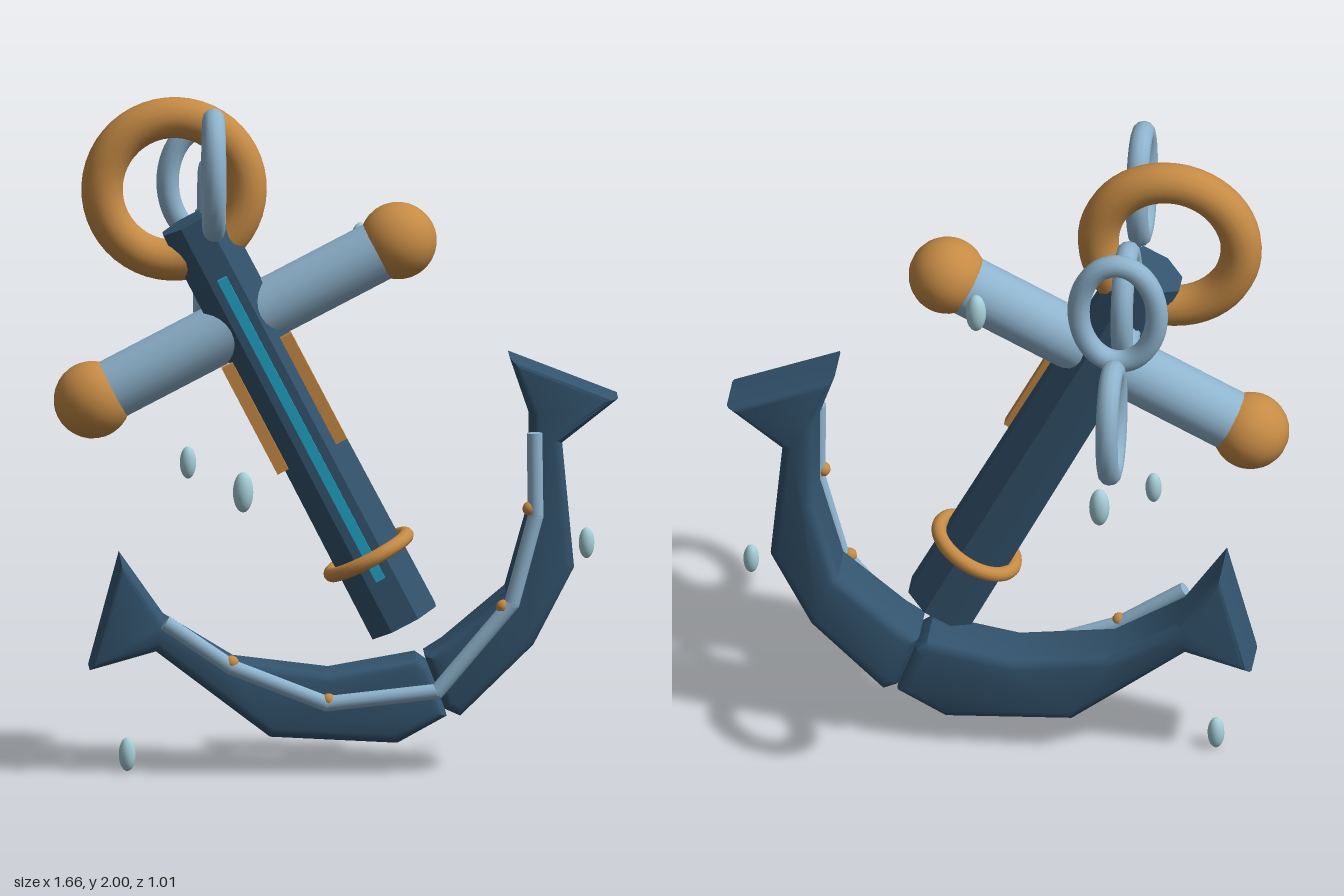
import * as THREE from 'three';
import { toCreasedNormals } from 'three/addons/utils/BufferGeometryUtils.js';

const TILT = 0.48; // lean of the whole anchor
const Z = 0.142; // depth of the anchor's middle plane

const mat = (name, color) => {
  const m = new THREE.MeshStandardMaterial({ color });
  m.name = name;
  return m;
};

export function createModel() {
  const group = new THREE.Group();
  const navy = mat('navy iron', 0x33546e);
  const steel = mat('pale steel', 0x8fb4ce);
  const brass = mat('brass', 0xc68b45);
  const cyan = mat('cyan inlay', 0x22a4c6);
  const water = mat('water', 0xa6cfd8);

  const add = (name, geometry, material, x, y, z, parent = group) => {
    const mesh = new THREE.Mesh(geometry, material);
    mesh.name = name;
    mesh.position.set(x, y, z);
    parent.add(mesh);
    return mesh;
  };

  // Leaning upper part: local y runs along the shank, origin at the crossbar
  const upper = new THREE.Group();
  upper.name = 'upperAnchor';
  upper.position.set(-0.265, 1.338, Z);
  upper.rotation.z = TILT;
  group.add(upper);

  // Octagonal shank, slightly tapered
  const shank = new THREE.CylinderGeometry(0.104, 0.114, 1.35, 8);
  shank.rotateY(Math.PI / 8);
  add('shank', toCreasedNormals(shank, 0.5), navy, 0, -0.335, 0, upper);

  // Crossbar with ball ends
  const bar = new THREE.CylinderGeometry(0.09, 0.09, 1.0, 24);
  bar.rotateZ(Math.PI / 2);
  add('crossbar', bar, steel, 0, 0, 0, upper);
  for (const s of [-1, 1]) {
    add('crossbarBall', new THREE.SphereGeometry(0.114, 24, 16), brass, s * 0.507, 0, 0, upper);
    add('sideStrip', new THREE.BoxGeometry(0.036, 0.355, 0.036), brass, s * 0.097 - 0.008, -0.255, 0.118, upper);
  }

  // Top ring, inlay and lower collar
  add('topRing', new THREE.TorusGeometry(0.212, 0.061, 16, 48), brass, -0.005, 0.444, 0.003, upper);
  add('shankInlay', new THREE.BoxGeometry(0.03, 1.01, 0.03), cyan, 0, -0.348, 0.113, upper);
  const collar = new THREE.TorusGeometry(0.125, 0.022, 12, 40);
  collar.rotateX(Math.PI / 2);
  add('collar', collar, brass, 0, -0.786, 0.003, upper);

  // Curved arms with flukes, cut from bevelled plate
  const arms = {
    leftArm: [[0.51, 1.235], [0.83, 1.11], [0.665, 0.98], [0.7, 0.61], [0.58, 0.38], [0.365, 0.17],
      [0.32, 0.19], [0.26, 0.35], [0.315, 0.385], [0.5, 0.54], [0.57, 0.79], [0.57, 1.06]],
    rightArm: [[-0.635, 0.645], [-0.505, 0.46], [-0.3, 0.335], [-0.02, 0.3], [0.235, 0.345],
      [0.27, 0.32], [0.325, 0.17], [0.18, 0.09], [-0.195, 0.11], [-0.53, 0.365], [-0.725, 0.31]],
  };
  for (const [name, pts] of Object.entries(arms)) {
    const shape = new THREE.Shape(pts.map(([x, y]) => new THREE.Vector2(x, y)));
    const plate = new THREE.ExtrudeGeometry(shape, {
      depth: 0.13, bevelThickness: 0.03, bevelSize: 0.028, bevelOffset: -0.028, bevelSegments: 3,
    });
    plate.translate(0, 0, -0.065);
    add(name, toCreasedNormals(plate, 0.6), navy, 0, 0, Z + 0.003);
  }

  // Steel rod following the arms, in straight lengths
  const rod = [[-0.5, 0.455], [-0.31, 0.325], [-0.03, 0.215], [0.295, 0.25], [0.515, 0.51], [0.585, 0.77], [0.582, 1.01]];
  for (let i = 0; i + 1 < rod.length; i++) {
    const a = new THREE.Vector2(...rod[i]);
    const b = new THREE.Vector2(...rod[i + 1]);
    const length = a.distanceTo(b);
    const piece = add('armRod', new THREE.CylinderGeometry(0.023, 0.023, length + 0.012, 12), steel,
      (a.x + b.x) / 2, (a.y + b.y) / 2, 0.266);
    piece.rotation.z = Math.atan2(a.x - b.x, b.y - a.y);
  }

  // Rivets along the rod
  for (const [x, y] of [[-0.31, 0.338], [-0.024, 0.224], [0.49, 0.5], [0.568, 0.792]]) {
    add('rivet', new THREE.SphereGeometry(0.022, 12, 8), brass, x, y, 0.267);
  }

  // Loose oval chain links, with one turned across the others
  const oval = [];
  for (let i = 0; i < 32; i++) {
    const t = (i / 32) * Math.PI * 2;
    oval.push(new THREE.Vector3(0.116 * Math.cos(t), 0.165 * Math.sin(t), 0));
  }
  const link = new THREE.TubeGeometry(new THREE.CatmullRomCurve3(oval, true), 48, 0.033, 12, true);
  for (const [y, z, turn] of [[1.8, 0.355, 1], [1.605, -0.002, 1], [1.7, -0.21, 0], [1.412, -0.355, 1]]) {
    add('chainLink', link, steel, -0.365, y, z).rotation.y = turn * Math.PI / 2;
  }

  // Water drops
  const drops = [[-0.432, 0.91, 0.1, 0.024], [-0.27, 0.822, 0.11, 0.03], [0.745, 0.648, -0.022, 0.023],
    [-0.612, 0.05, 0.14, 0.025], [0.08, 1.545, -0.012, 0.03]];
  for (const [x, y, z, r] of drops) {
    add('waterDrop', new THREE.SphereGeometry(r, 16, 12), water, x, y, z).scale.y = 2;
  }

  return group;
}
